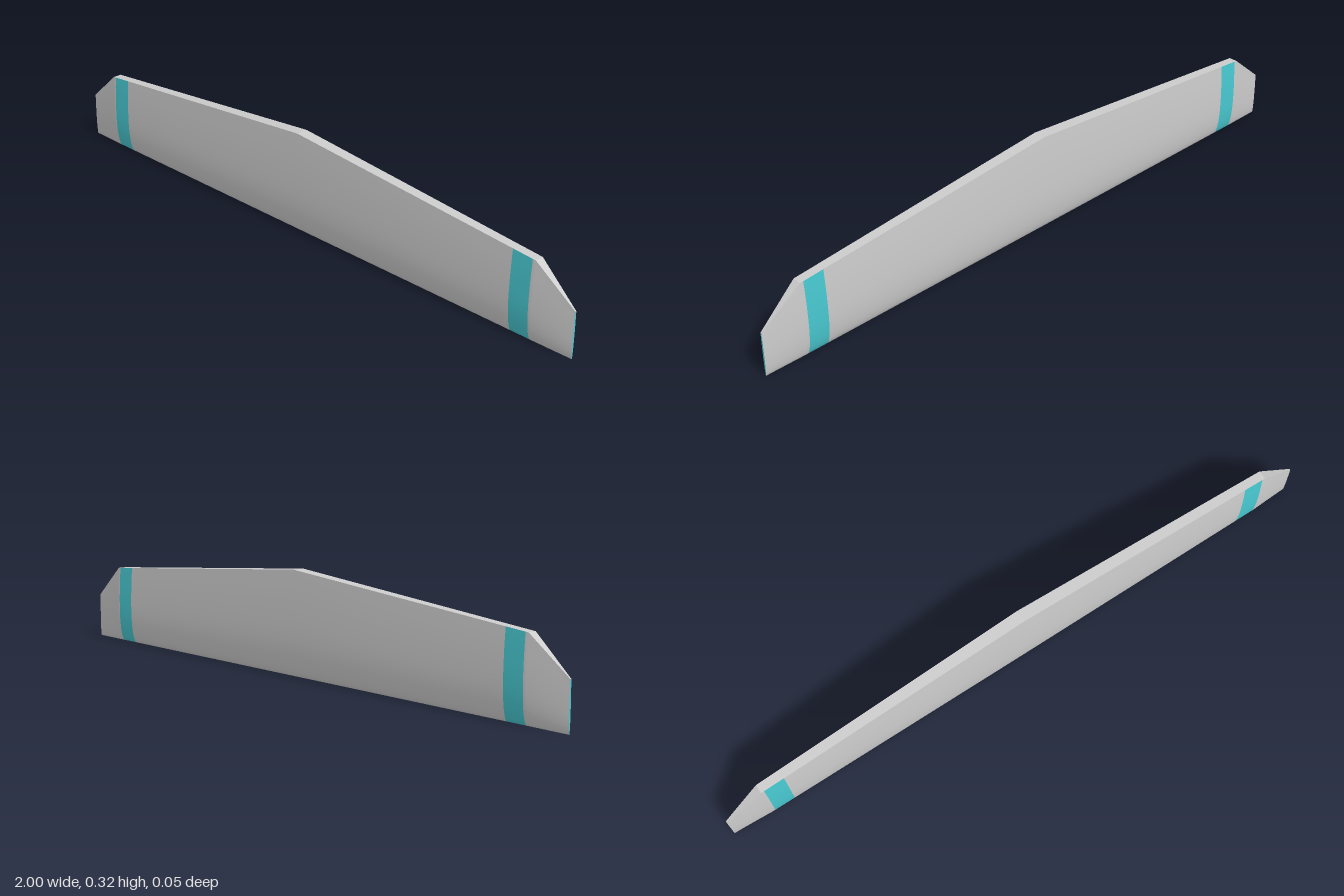
import * as THREE from 'three';

// Span stations: [|x|, chord height, largest half thickness, half thickness at the blunt edge]
const STATIONS = [
  [0, 0.322, 0.025, 0.019],
  [0.875, 0.245, 0.02, 0.014],
  [1, 0.142, 0.003, 0.002],
];
const STEPS = 14;

function station(x) {
  const ax = Math.abs(x);
  const i = ax <= STATIONS[1][0] ? 0 : 1;
  const a = STATIONS[i], b = STATIONS[i + 1];
  const t = (ax - a[0]) / (b[0] - a[0]);
  return a.map((v, k) => v + (b[k] - v) * t);
}

// Aerofoil outline: +z blunt edge, down round the leading edge, up to the -z blunt edge
function outline(x) {
  const [, h, thick, blunt] = station(x);
  const points = [];
  for (let j = -STEPS; j <= STEPS; j++) {
    const u = (j / STEPS) ** 2;
    const z = u < 0.44
      ? thick * Math.sqrt(1 - (1 - u / 0.44) ** 2)
      : thick - (thick - blunt) * ((u - 0.44) / 0.56) ** 2;
    points.push([x, u * h, j < 0 ? z : -z]);
  }
  return points;
}

// Blunt trailing edge, from -z to +z
function edge(x) {
  const [, h, , blunt] = station(x);
  return [[x, h, -blunt], [x, h, blunt]];
}

function geometryFrom(rows, index) {
  const g = new THREE.BufferGeometry();
  g.setAttribute('position', new THREE.Float32BufferAttribute(rows.flat(2), 3));
  g.setIndex(index);
  g.computeVertexNormals();
  return g;
}

function loft(xs, section) {
  const rows = xs.map(section);
  const n = rows[0].length;
  const index = [];
  for (let i = 0; i < rows.length - 1; i++) {
    for (let j = 0; j < n - 1; j++) {
      const a = i * n + j, d = a + n;
      index.push(a, a + 1, d + 1, a, d + 1, d);
    }
  }
  return geometryFrom(rows, index);
}

function cap(x) {
  const points = outline(x);
  const index = [];
  for (let j = 1; j < points.length - 1; j++) {
    if (x > 0) index.push(0, j, j + 1);
    else index.push(0, j + 1, j);
  }
  return geometryFrom([points], index);
}

export function createModel() {
  const group = new THREE.Group();
  const grey = new THREE.MeshStandardMaterial({ color: 0xcccccc });
  const teal = new THREE.MeshStandardMaterial({ color: 0x48c8d0 });
  const add = (name, geometry, material) => {
    const mesh = new THREE.Mesh(geometry, material);
    mesh.name = name;
    group.add(mesh);
  };

  // Main skin and the flat strip along the blunt edge
  add('mainPanel', loft([-0.8, -0.4, 0, 0.4, 0.8], outline), grey);
  [[-1, -0.875], [-0.875, 0], [0, 0.875], [0.875, 1]].forEach((xs) =>
    add('trailingEdge', loft(xs, edge), grey));

  // Coloured bands, tapered tips and thin tip faces
  for (const [side, s] of [['left', 1], ['right', -1]]) {
    const span = (...xs) => xs.map((x) => x * s).sort((a, b) => a - b);
    add(side + 'Band', loft(span(0.8, 0.865), outline), teal);
    add(side + 'Tip', loft(span(0.865, 0.875, 1), outline), grey);
    add(side + 'TipFace', cap(s), teal);
  }
  return group;
}
